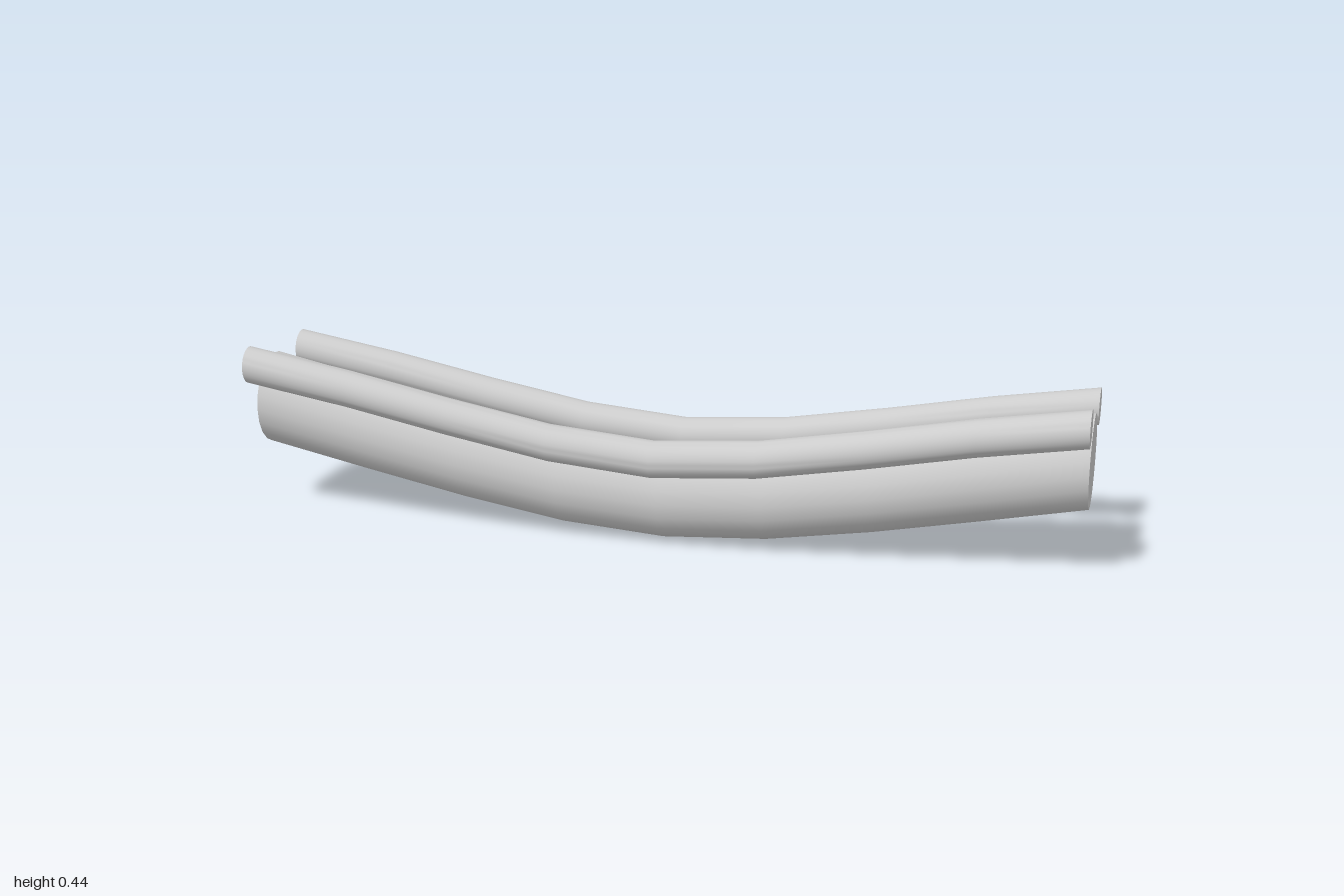
import * as THREE from 'three';
import { toCreasedNormals } from 'three/addons/utils/BufferGeometryUtils.js';

// Height of the sag above its lowest point, every 0.25 from the middle outward
const MAIN_SAG = [0, 0.017, 0.058, 0.108, 0.16];
const SIDE_SAG = [0, 0.02, 0.064, 0.113, 0.154];

// A straight cylinder along x whose rings are shifted upward by the sag profile
function saggingTube(name, radius, sides, y, z, sag, bulge = 0) {
  const geometry = new THREE.CylinderGeometry(radius, radius, 2, sides, 8);
  geometry.rotateZ(-Math.PI / 2);
  const p = geometry.attributes.position;
  for (let i = 0; i < p.count; i++) {
    const step = Math.min(4, Math.round(Math.abs(p.getX(i)) * 4));
    const lift = sag[step];
    p.setY(i, p.getY(i) + y + lift);
    p.setZ(i, p.getZ(i) + z + bulge * (1 - lift / sag[4]));
  }
  const mesh = new THREE.Mesh(
    toCreasedNormals(geometry, 0.7),
    new THREE.MeshStandardMaterial({ color: 0xcccccc })
  );
  mesh.name = name;
  return mesh;
}

export function createModel() {
  const group = new THREE.Group();
  group.name = 'saggingTubes';
  // Thick central tube
  group.add(saggingTube('mainTube', 0.111, 20, 0.111, 0.018, MAIN_SAG));
  // Thin tubes either side, the front one higher and bowed slightly outward
  group.add(saggingTube('frontTube', 0.044, 32, 0.24, 0.158, SIDE_SAG, 0.005));
  group.add(saggingTube('backTube', 0.044, 32, 0.192, -0.162, SIDE_SAG));
  return group;
}
